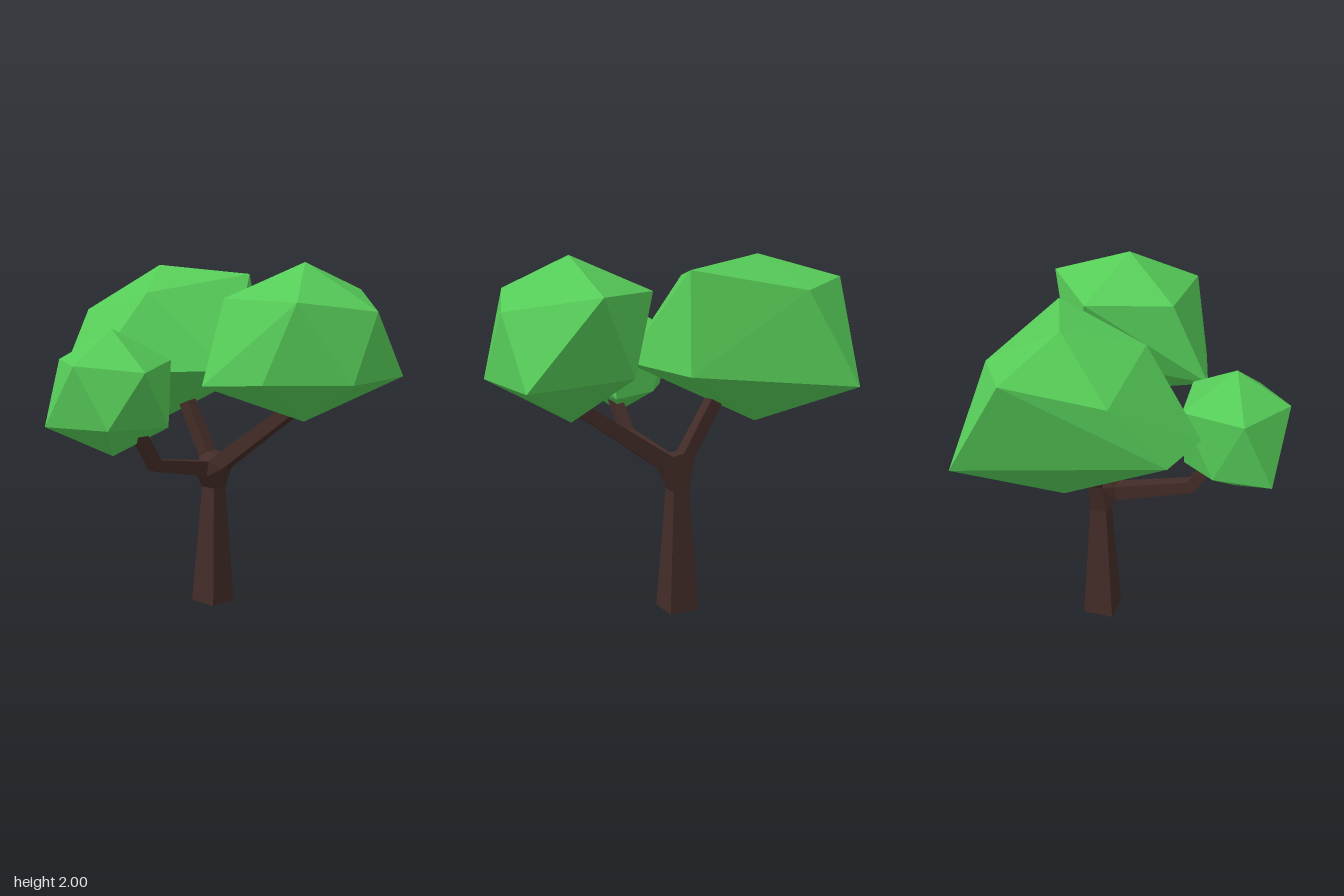
import * as THREE from 'three';
import { ConvexGeometry } from 'three/addons/geometries/ConvexGeometry.js';

const V = (x, y, z) => new THREE.Vector3(x, y, z);
const bark = new THREE.MeshStandardMaterial({ color: 0x432c27, flatShading: true });
const leaf = new THREE.MeshStandardMaterial({ color: 0x56cc58, flatShading: true });

// Four-cornered cross-sections along a path; each point is [centre, half width, half depth].
function crossSections(path, side) {
  return path.map(([c, hs, hn], i) => {
    const t = V(0, 0, 0);
    if (i > 0) t.add(c.clone().sub(path[i - 1][0]).normalize());
    if (i < path.length - 1) t.add(path[i + 1][0].clone().sub(c).normalize());
    const n = t.cross(side).normalize();
    return [[-1, -1], [1, -1], [1, 1], [-1, 1]].map(([a, b]) =>
      c.clone().addScaledVector(side, a * hs).addScaledVector(n, b * hn));
  });
}

// Closed square tube through the cross-sections.
function loft(rings) {
  const pts = [];
  const quad = (a, b, c, d) => pts.push(a, b, c, a, c, d);
  for (let r = 0; r < rings.length - 1; r++) {
    const a = rings[r], b = rings[r + 1];
    for (let i = 0; i < 4; i++) {
      const j = (i + 1) % 4;
      quad(a[i], a[j], b[j], b[i]);
    }
  }
  quad(...rings[0].slice().reverse());
  quad(...rings[rings.length - 1]);
  const g = new THREE.BufferGeometry().setFromPoints(pts);
  g.computeVertexNormals();
  return g;
}

export function createModel() {
  const tree = new THREE.Group();
  tree.name = 'tree';
  const add = (name, geometry, material) => {
    const mesh = new THREE.Mesh(geometry, material);
    mesh.name = name;
    tree.add(mesh);
  };

  // Trunk and limbs
  const X = V(1, 0, 0), Z = V(0, 0, 1);
  const trunk = crossSections([
    [V(0.273, 0, -0.087), 0.087, 0.087],
    [V(0.273, 0.69, -0.083), 0.048, 0.048],
  ], X);
  const frontBranch = crossSections([
    [V(0.275, 0.85, -0.005), 0.04, 0.046],
    [V(0.275, 1.2, 0.5), 0.035, 0.034],
    [V(0.275, 1.26, 0.587), 0.034, 0.033],
  ], X);
  const backBranch = crossSections([
    [V(0.275, 0.88, -0.132), 0.04, 0.037],
    [V(0.275, 1.155, -0.295), 0.036, 0.036],
    [V(0.275, 1.23, -0.34), 0.035, 0.035],
  ], X);
  const sideBranch = crossSections([
    [V(0.172, 0.812, -0.075), 0.04, 0.043],
    [V(-0.245, 0.893, -0.03), 0.034, 0.035],
    [V(-0.38, 1.08, -0.015), 0.031, 0.031],
    [V(-0.41, 1.12, -0.012), 0.031, 0.031],
  ], Z);
  add('trunk', loft(trunk), bark);
  add('frontBranch', loft(frontBranch), bark);
  add('backBranch', loft(backBranch), bark);
  add('sideBranch', loft(sideBranch), bark);

  // Fork joining the trunk top to the start of each limb
  add('fork', new ConvexGeometry([trunk[1], frontBranch[0], backBranch[0], sideBranch[0]].flat()), bark);

  // Foliage: skewed twenty-sided clumps given as top, upper ring, lower ring, bottom
  const clumps = {
    frontFoliage: [
      [0.3, 2, 0.56],
      [0.765, 1.84, 0.58], [0.41, 1.75, 0.965], [-0.04, 1.81, 0.795], [-0.04, 1.81, 0.29], [0.43, 1.81, 0.15],
      [0.675, 1.39, 0.945], [0.19, 1.385, 0.985], [-0.14, 1.385, 0.655], [-0.238, 1.36, 0.32], [0.6, 1.4, 0.335],
      [0.31, 1.14, 0.56],
    ],
    backFoliage: [
      [0.295, 1.96, -0.555],
      [0.66, 1.795, -0.65], [0.45, 1.83, -0.99], [-0.04, 1.7, -0.82], [-0.065, 1.82, -0.28], [0.505, 1.915, -0.025],
      [0.605, 1.38, 0.02], [0.785, 1.28, -0.905], [-0.31, 1.37, -0.72], [-0.395, 1.38, -0.395], [0.14, 1.4, 0.172],
      [0.305, 1.035, -0.55],
    ],
    sideFoliage: [
      [-0.5, 1.655, -0.09],
      [-0.555, 1.45, 0.228], [-0.787, 1.48, -0.065], [-0.615, 1.48, -0.39], [-0.265, 1.48, -0.31], [-0.22, 1.48, 0.07],
      [-0.705, 1.15, 0.105], [-0.762, 1.13, -0.34], [-0.445, 1.13, -0.345], [-0.25, 1.13, -0.2], [-0.22, 1.11, 0.05],
      [-0.5, 0.97, -0.09],
    ],
  };
  for (const [name, points] of Object.entries(clumps)) {
    add(name, new ConvexGeometry(points.map((p) => V(...p))), leaf);
  }
  return tree;
}
